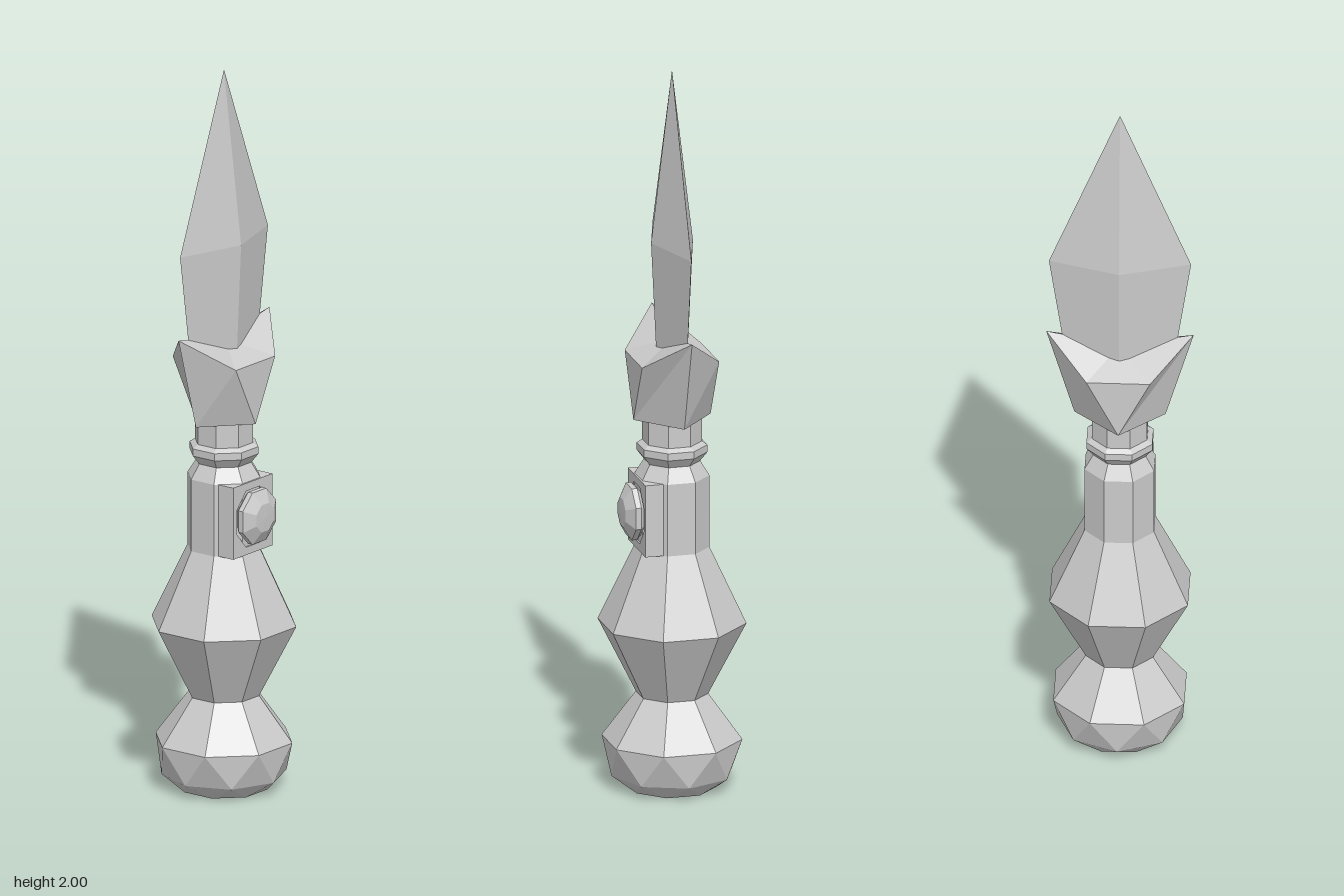
import * as THREE from 'three';

const grey = new THREE.MeshStandardMaterial({ color: 0xcccccc, flatShading: true, side: THREE.DoubleSide });
const SIDES = 8;
const EIGHTH = Math.PI / SIDES;

function add(group, name, geometry) {
  const mesh = new THREE.Mesh(geometry, grey);
  mesh.name = name;
  group.add(mesh);
  return mesh;
}

// Octagonal turned part; profile entries are [half width across flats, y]
function turned(profile) {
  const points = profile.map(([r, y]) => new THREE.Vector2(r / Math.cos(EIGHTH), y));
  return new THREE.LatheGeometry(points, SIDES, EIGHTH);
}

function polygons(vertices, faces) {
  const positions = [];
  for (const face of faces) {
    for (let i = 1; i < face.length - 1; i++) {
      for (const k of [face[0], face[i], face[i + 1]]) positions.push(...vertices[k]);
    }
  }
  const geometry = new THREE.BufferGeometry();
  geometry.setAttribute('position', new THREE.Float32BufferAttribute(positions, 3));
  geometry.computeVertexNormals();
  return geometry;
}

// Faceted underside: three rings, each turned by half a side from the next
function pommelBase() {
  const rings = [[0.189, 0.135, 0.5], [0.168, 0.04, 0], [0.12, 0, 0.5]];
  const vertices = [];
  for (const [r, y, turn] of rings) {
    for (let i = 0; i < SIDES; i++) {
      const a = (i + turn) * 2 * EIGHTH;
      vertices.push([r * Math.sin(a), y, r * Math.cos(a)]);
    }
  }
  const faces = [];
  for (let i = 0; i < SIDES; i++) {
    const n = (i + 1) % SIDES;
    const [top, mid, low] = [0, SIDES, 2 * SIDES];
    faces.push([top + i, mid + i, mid + n], [top + i, mid + n, top + n]);
    faces.push([mid + i, low + i, mid + n], [mid + n, low + i, low + n]);
  }
  faces.push(Array.from({ length: SIDES }, (_, i) => 3 * SIDES - 1 - i));
  return polygons(vertices, faces);
}

// Diamond-section blade
function blade() {
  const vertices = [];
  for (const [x, y, z] of [[0.042, 1.18, 0.14], [0.058, 1.52, 0.19]]) {
    vertices.push([0, y, z], [x, y, 0], [0, y, -z], [-x, y, 0]);
  }
  vertices.push([0, 2, 0]);
  const faces = [[3, 2, 1, 0]];
  for (let i = 0; i < 4; i++) {
    const n = (i + 1) % 4;
    faces.push([i, n, 4 + n, 4 + i], [4 + i, 4 + n, 8]);
  }
  return polygons(vertices, faces);
}

// Flared guard with a roofed top and raised points at front and back
function guard() {
  const vertices = [
    [0, 1.29, 0.197], [0.107, 1.2, 0.085], [0.107, 1.2, -0.085],
    [0, 1.29, -0.197], [-0.107, 1.2, -0.085], [-0.107, 1.2, 0.085],
    [0, 1.03, 0.122], [0.107, 1.03, 0], [0, 1.03, -0.122], [-0.107, 1.03, 0],
    [0, 1.25, 0], [0, 1.01, 0],
  ];
  return polygons(vertices, [
    [6, 7, 1, 0], [7, 2, 1], [7, 8, 3, 2],
    [8, 9, 4, 3], [9, 5, 4], [9, 6, 0, 5],
    [0, 1, 10], [1, 2, 10], [2, 3, 10], [3, 4, 10], [4, 5, 10], [5, 0, 10],
    [7, 6, 11], [8, 7, 11], [9, 8, 11], [6, 9, 11],
  ]);
}

// Square frame with an octagonal opening
function buttonFrame() {
  const w = 0.085, h = 0.1;
  const shape = new THREE.Shape([[-w, -h], [w, -h], [w, h], [-w, h]].map((p) => new THREE.Vector2(...p)));
  const hole = [];
  for (let i = 0; i < SIDES; i++) {
    const a = (2 * i + 1) * EIGHTH;
    hole.push(new THREE.Vector2(0.076 * Math.cos(a), 0.085 * Math.sin(a)));
  }
  shape.holes.push(new THREE.Path(hole));
  return new THREE.ExtrudeGeometry(shape, { depth: 0.05, bevelEnabled: false });
}

export function createModel() {
  const model = new THREE.Group();
  model.name = 'dagger';

  // Handle, from the bottom up
  add(model, 'pommelBase', pommelBase());
  add(model, 'pommelTop', turned([[0.175, 0.135], [0.09, 0.26]]));
  add(model, 'grip', turned([[0.09, 0.26], [0.185, 0.46], [0.093, 0.67]]));
  add(model, 'sleeve', turned([[0.093, 0.67], [0.093, 0.87], [0.07, 0.91]]));
  add(model, 'collar', turned([[0.07, 0.91], [0.088, 0.935], [0.088, 0.955], [0.074, 0.965]]));
  add(model, 'neck', turned([[0.074, 0.965], [0.074, 1.04]]));

  // Button on the left side of the sleeve
  const frame = add(model, 'buttonFrame', buttonFrame());
  frame.rotation.y = Math.PI / 2;
  frame.position.set(0.048, 0.77, 0);
  const button = add(model, 'button',
    turned([[0.045, 0.08], [0.072, 0.105], [0.072, 0.12], [0.038, 0.14], [0, 0.141]]));
  button.rotation.z = -Math.PI / 2;
  button.position.y = 0.775;

  add(model, 'guard', guard());
  add(model, 'blade', blade());
  return model;
}
